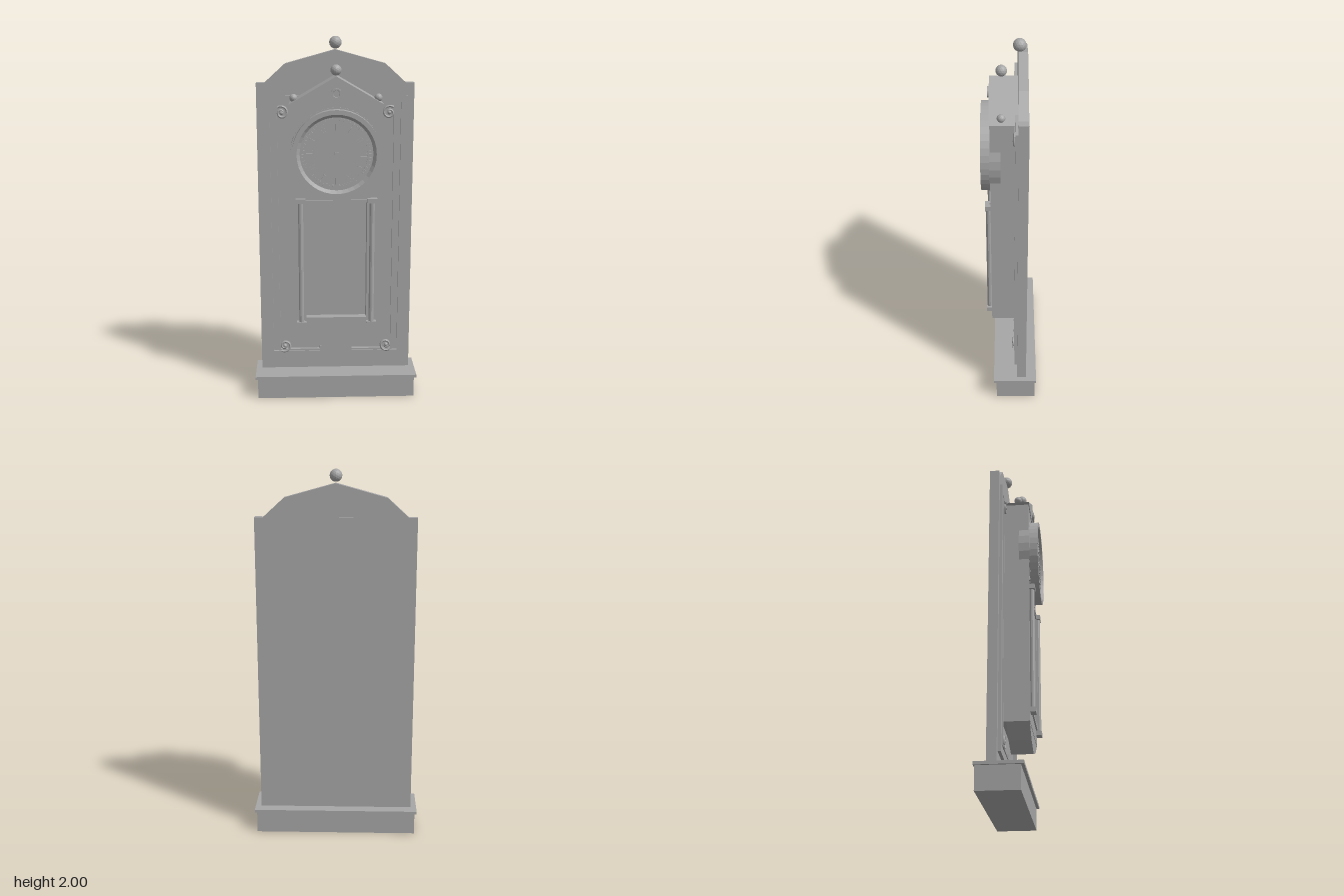
import * as THREE from 'three';

const stone = new THREE.MeshStandardMaterial({ color: 0xa6a6a6 });
stone.name = 'grey';

export function createModel() {
  const root = new THREE.Group();
  root.name = 'wallClock';

  // Adds a mesh with faceted normals
  function add(name, geo, x = 0, y = 0, z = 0, parent = root) {
    const g = geo.index ? geo.toNonIndexed() : geo;
    g.computeVertexNormals();
    const m = new THREE.Mesh(g, stone);
    m.name = name;
    m.position.set(x, y, z);
    parent.add(m);
    return m;
  }
  // Box given by its limits
  const box = (name, x0, x1, y0, y1, z0, z1, parent) =>
    add(name, new THREE.BoxGeometry(x1 - x0, y1 - y0, z1 - z0),
      (x0 + x1) / 2, (y0 + y1) / 2, (z0 + z1) / 2, parent);
  const outline = (pts) => new THREE.Shape(pts.map(([x, y]) => new THREE.Vector2(x, y)));
  const rect = (w, y0, y1) => [[-w, y0], [w, y0], [w, y1], [-w, y1]];
  // Outline pushed from z0 to z1, with an optional hole
  function slab(name, pts, z0, z1, hole) {
    const s = outline(pts);
    if (hole) s.holes.push(outline(hole));
    return add(name, new THREE.ExtrudeGeometry(s, { depth: z1 - z0, bevelEnabled: false }), 0, 0, z0);
  }
  const ball = (name, r, x, y, z) => add(name, new THREE.IcosahedronGeometry(r, 2), x, y, z);
  // Turned part whose axis points forward
  const turned = (name, pts, n, x, y, z, parent) => {
    const g = new THREE.LatheGeometry(pts.map(([r, h]) => new THREE.Vector2(r, h)), n);
    return add(name, g.rotateX(Math.PI / 2), x, y, z, parent);
  };

  // Plinth
  box('plinth', -0.44, 0.44, 0, 0.12, -0.14, 0.075);
  box('plinthCap', -0.452, 0.452, 0.12, 0.136, -0.147, 0.09);

  // Back board and its crest
  box('backBoard', -0.42, 0.42, 0.136, 1.757, -0.09, -0.04);
  slab('crest', [[-0.375, 1.757], [0.375, 1.757], [0.265, 1.857], [0, 1.93], [-0.265, 1.857]], -0.088, -0.04);
  ball('crestFinial', 0.033, 0, 1.967, -0.047);

  // Raised frame on the board
  slab('panelFrame', rect(0.385, 0.2, 1.69), -0.04, -0.025, rect(0.35, 0.242, 1.655));
  box('lowerBlock', -0.09, 0.09, 0.242, 0.272, -0.04, -0.02);
  for (const s of [-1, 1]) {
    const xs = (a, b) => [Math.min(s * a, s * b), Math.max(s * a, s * b)];
    box('sideBead', ...xs(0.312, 0.322), 0.25, 1.645, -0.04, -0.022);
    box('upperBead', ...xs(0.2, 0.322), 1.635, 1.645, -0.04, -0.022);
    box('lowerBead', ...xs(0.09, 0.322), 0.246, 0.256, -0.04, -0.022);

    // Corner scrolls
    for (const [cy, v, R] of [[1.602, 1, 0.036], [0.277, -1, 0.036]]) {
      const pts = [];
      for (let i = 0; i <= 20; i++) {
        const a = Math.PI * (0.3 + i * 0.125);
        const r = R * (1 - 0.036 * i);
        pts.push(new THREE.Vector3(s * (0.287 + r * Math.cos(a)), cy + v * r * Math.sin(a), -0.022));
      }
      add('cornerScroll', new THREE.TubeGeometry(new THREE.CatmullRomCurve3(pts), 36, 0.007, 6));
      ball('scrollEye', 0.011, s * 0.287, cy, -0.022);
    }
  }

  // Case with a deep window
  box('caseBack', -0.222, 0.222, 0.4, 1.66, -0.04, 0.015);
  slab('caseFront', rect(0.222, 0.4, 1.66), 0.015, 0.1, rect(0.165, 0.475, 1.155));
  box('caseMoulding', -0.222, 0.222, 1.186, 1.194, 0.09, 0.104);
  slab('casePendant', [[-0.22, 0.4], [-0.12, 0.335], [0, 0.297], [0.12, 0.335], [0.22, 0.4]], -0.018, 0.098);

  // Window trim and columns
  box('windowSill', -0.165, 0.165, 0.475, 0.495, 0.085, 0.108);
  box('windowHead', -0.165, 0.165, 1.14, 1.155, 0.085, 0.108);
  for (const s of [-1, 1]) {
    const x = s * 0.19;
    box('columnBase', x - 0.027, x + 0.027, 0.45, 0.475, 0.1, 0.129);
    box('columnCapital', x - 0.027, x + 0.027, 1.14, 1.165, 0.1, 0.129);
    add('columnShaft', new THREE.CylinderGeometry(0.014, 0.014, 0.665, 10), x, 0.8075, 0.112);
    box('windowStile', s * 0.168 - 0.005, s * 0.168 + 0.005, 0.475, 1.14, 0.09, 0.108);
  }

  // Gable with balls and roundel
  slab('gable', [[-0.246, 1.66], [0.246, 1.66], [0, 1.803]], -0.04, 0.104);
  ball('gableFinial', 0.029, 0, 1.831, 0.043);
  for (const s of [-1, 1]) ball('eaveBall', 0.021, s * 0.222, 1.688, 0.043);
  turned('roundel', [[0.029, 0], [0.029, 0.012], [0.019, 0.012], [0.017, 0.005], [0, 0.005]], 20, 0, 1.715, 0.102);

  // Clock drum and recessed dial
  const clock = new THREE.Group();
  clock.name = 'clock';
  clock.position.set(0, 1.405, 0);
  root.add(clock);
  turned('drum', [[0, 0.047], [0.24, 0.047], [0.24, 0.104], [0, 0.104]], 32, 0, 0, 0, clock);
  turned('bezel', [[0.232, 0.1], [0.232, 0.148], [0.208, 0.148], [0.192, 0.128], [0, 0.128]], 40, 0, 0, 0, clock);
  turned('minuteRing', [[0.187, 0.127], [0.187, 0.13], [0.163, 0.13], [0.163, 0.127]], 40, 0, 0, 0, clock);
  turned('centrePin', [[0.013, 0.127], [0.013, 0.14], [0, 0.14]], 8, 0, 0, 0, clock);
  // Radial bar at a given angle from the top
  function bar(name, angle, r, w, len, side = 0) {
    const g = new THREE.BoxGeometry(w, len, 0.006).translate(side, r, 0);
    add(name, g, 0, 0, 0.132, clock).rotation.z = -angle;
  }
  for (let i = 0; i < 60; i++) bar('minuteMark', i * Math.PI / 30, 0.175, 0.005, 0.015);
  for (let i = 0; i < 12; i++) {
    const count = 1 + (i + 2) % 3;
    for (let k = 0; k < count; k++) {
      bar('hourMark', i * Math.PI / 6, 0.142, 0.009, 0.034, (k - (count - 1) / 2) * 0.015);
    }
  }
  return root;
}
